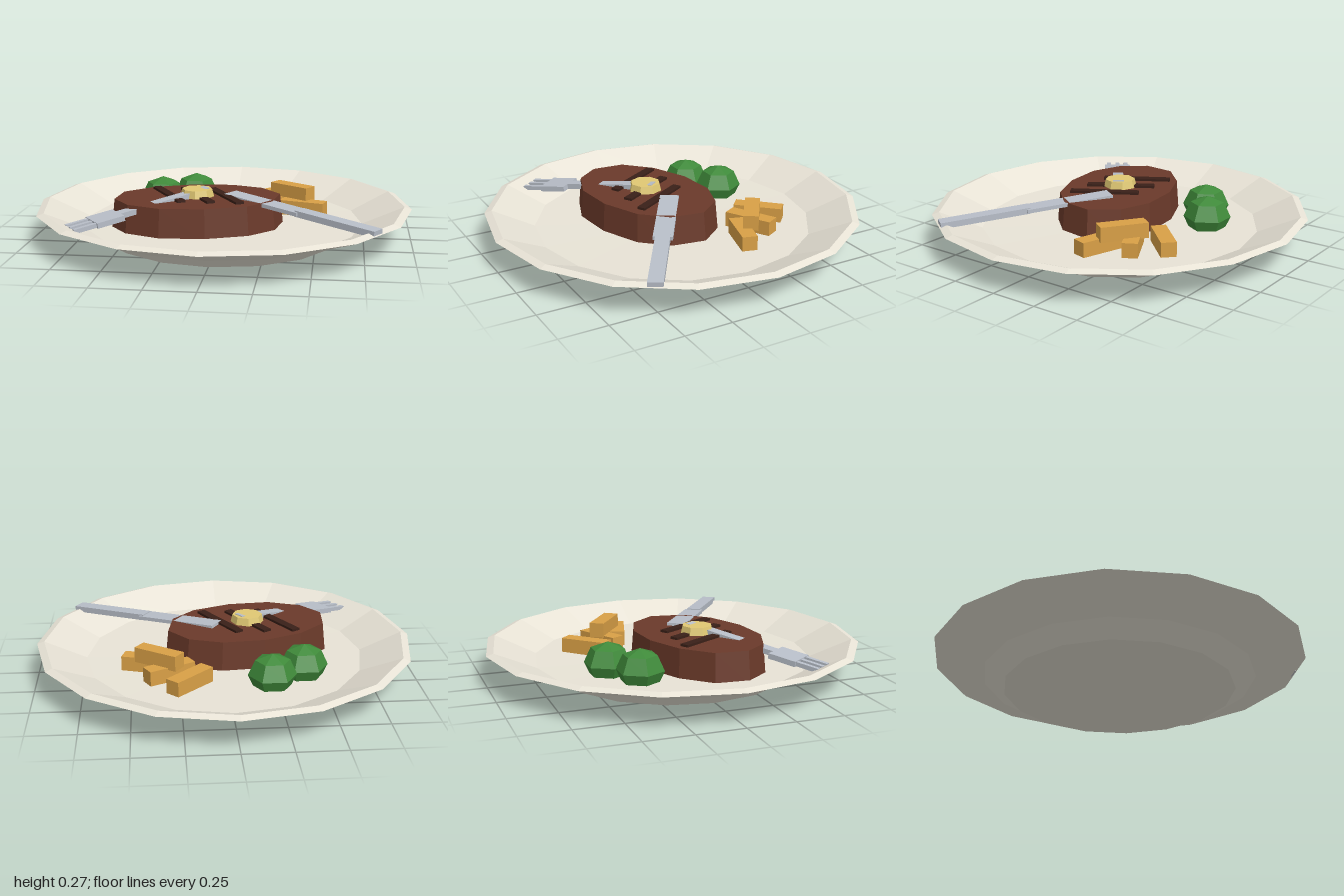
import * as THREE from 'three';

const mat = (color) => new THREE.MeshStandardMaterial({ color, flatShading: true });
const MATS = {
  plate: mat(0xe8e3d6), steak: mat(0x6b3a2a), char: mat(0x3a2018), butter: mat(0xe0c873),
  metal: mat(0xb8bec8), green: mat(0x3f8a3a), fry: mat(0xd9a046),
};

function add(parent, name, geometry, material, x = 0, y = 0, z = 0) {
  const mesh = new THREE.Mesh(geometry, material);
  mesh.name = name;
  mesh.position.set(x, y, z);
  parent.add(mesh);
  return mesh;
}

// heading that turns local +x towards (dx, dz)
const heading = (dx, dz) => Math.atan2(-dz, dx);

function makePlate(parent) {
  const profile = [[0, 0], [0.62, 0], [0.73, 0.065], [1, 0.165], [0.962, 0.178], [0.74, 0.08], [0, 0.07]];
  add(parent, 'plate', new THREE.LatheGeometry(profile.map(([r, y]) => new THREE.Vector2(r, y)), 16), MATS.plate);
}

function makeSteak(parent) {
  const steak = new THREE.Group();
  steak.name = 'steak';
  steak.position.set(-0.13, 0.06, 0.09);
  parent.add(steak);

  // slab: outline relative to the steak's centre, narrowing a little to the top
  const outline = [[-0.07, -0.29], [0.16, -0.31], [0.34, -0.25], [0.45, -0.11], [0.42, 0.075], [0.295, 0.21],
    [0.08, 0.3], [-0.155, 0.32], [-0.34, 0.25], [-0.44, 0.12], [-0.425, -0.06], [-0.28, -0.2]];
  const shape = new THREE.Shape(outline.map(([x, z]) => new THREE.Vector2(x, -z)));
  const depth = 0.167;
  const slab = new THREE.ExtrudeGeometry(shape, { depth, bevelEnabled: false }).rotateX(-Math.PI / 2);
  const p = slab.attributes.position;
  for (let i = 0; i < p.count; i++) {
    const s = 1 - 0.04 * (p.getY(i) / depth);
    p.setX(i, p.getX(i) * s);
    p.setZ(i, p.getZ(i) * s);
  }
  slab.computeVertexNormals();
  add(steak, 'steakSlab', slab, MATS.steak);

  // grill marks
  for (const x of [-0.153, 0, 0.15]) {
    const mark = add(steak, 'grillMark', new THREE.BoxGeometry(0.37, 0.025, 0.045), MATS.char, x, depth, 0);
    mark.rotation.y = heading(34, 58);
  }

  // butter pat
  add(steak, 'butter', new THREE.CylinderGeometry(0.08, 0.09, 0.04, 8), MATS.butter, 0, 0.19, 0.005);
}

// cutlery lies along local +x from its raised end, sloping down to the rim
function makeCutlery(parent, name, [x, y, z], [dx, dz], tilt, boxes) {
  const group = new THREE.Group();
  group.name = name;
  group.position.set(x, y, z);
  group.rotation.set(0, heading(dx, dz), -tilt);
  for (const [part, start, end, thick, width, offset = 0] of boxes) {
    add(group, part, new THREE.BoxGeometry(end - start, thick, width), MATS.metal, (start + end) / 2, 0, offset);
  }
  parent.add(group);
}

function makeBroccoli(parent) {
  for (const [x, z] of [[-0.385, -0.305], [-0.21, -0.42]]) {
    const floret = add(parent, 'broccoliFloret', new THREE.SphereGeometry(0.125, 6, 4), MATS.green, x, 0.133, z);
    floret.scale.y = 0.9;
  }
}

function makeFries(parent) {
  // x, y, z, heading dx, dz, length
  const fries = [
    [0.205, 0.115, -0.42, 35, -36, 0.26],
    [0.305, 0.115, -0.305, 45, -24, 0.26],
    [0.355, 0.185, -0.275, 38, 27, 0.25],
    [0.42, 0.115, -0.18, 45, 13, 0.25],
  ];
  for (const [x, y, z, dx, dz, length] of fries) {
    const fry = add(parent, 'fry', new THREE.BoxGeometry(length, 0.08, 0.08), MATS.fry, x, y, z);
    fry.rotation.y = heading(dx, dz);
  }
}

export function createModel() {
  const model = new THREE.Group();
  model.name = 'steakDinner';
  makePlate(model);
  makeSteak(model);
  makeBroccoli(model);
  makeFries(model);
  makeCutlery(model, 'fork', [-0.08, 0.26, 0.07], [-118, 89], 0.145, [
    ['forkHandle', 0, 0.53, 0.028, 0.06],
    ['forkHead', 0.52, 0.67, 0.028, 0.15],
    ...[-0.052, 0, 0.052].map((o) => ['forkTine', 0.66, 0.79, 0.022, 0.024, o]),
  ]);
  makeCutlery(model, 'knife', [0.04, 0.232, 0.04], [142, 93], 0.062, [
    ['knifeBlade', 0, 0.47, 0.02, 0.1],
    ['knifeHandle', 0.45, 0.92, 0.032, 0.075],
  ]);
  return model;
}
